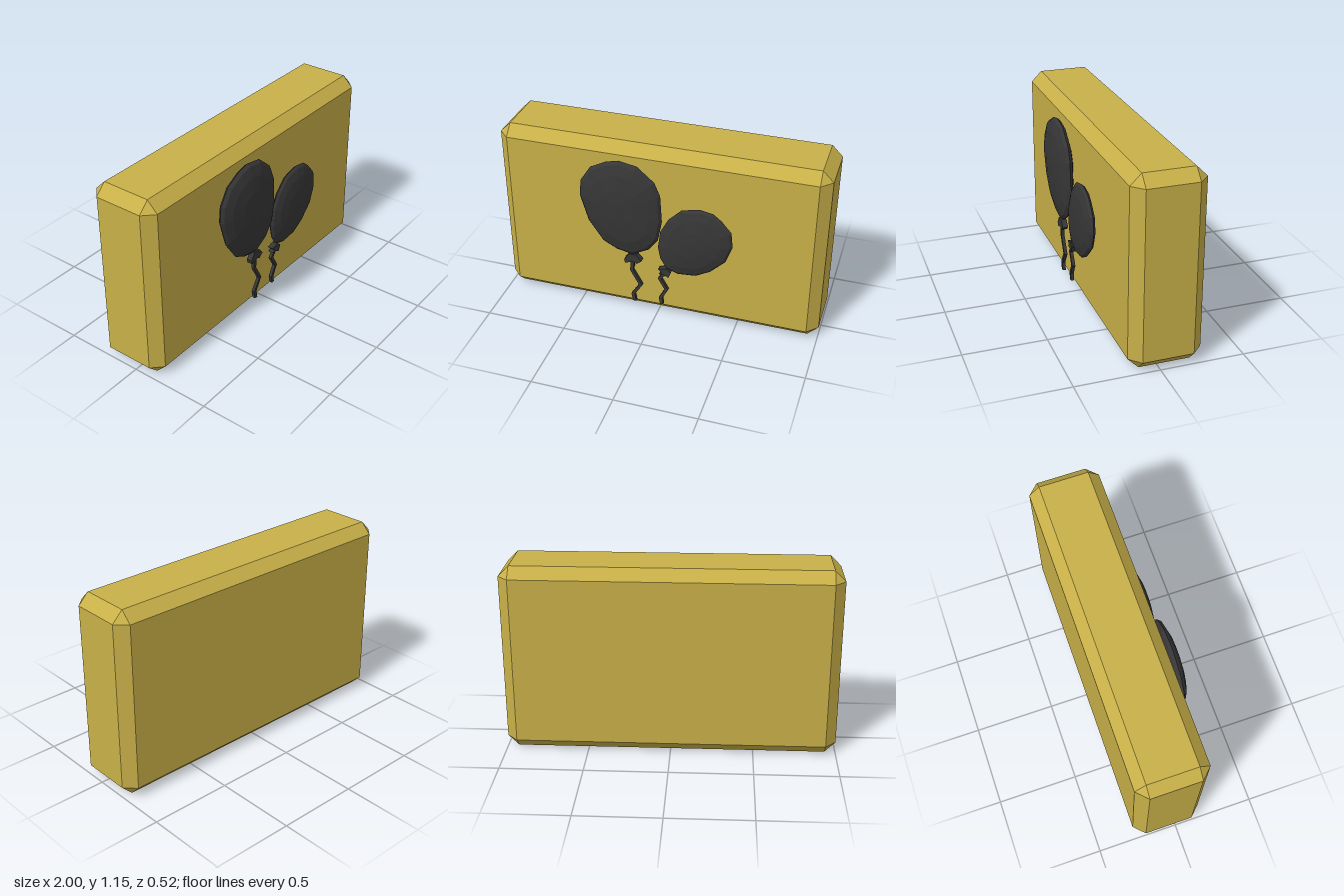
import * as THREE from 'three';
import { ConvexGeometry } from 'three/addons/geometries/ConvexGeometry.js';

const gold = new THREE.MeshStandardMaterial({ color: 0xc8b048, flatShading: true });
const dark = new THREE.MeshStandardMaterial({ color: 0x363636, flatShading: true });
const Z = 0.207; // middle plane of the balloons

function addMesh(parent, name, geometry, material) {
  const mesh = new THREE.Mesh(geometry, material);
  mesh.name = name;
  parent.add(mesh);
}

// Box with every edge cut at 45 degrees
function chamferedBox(w, h, d, c) {
  const points = [];
  for (const x of [-1, 1]) for (const y of [-1, 1]) for (const z of [-1, 1]) {
    for (let axis = 0; axis < 3; axis++) {
      const cut = [c, c, c];
      cut[axis] = 0;
      points.push(new THREE.Vector3(x * (w / 2 - cut[0]), y * (h / 2 - cut[1]), z * (d / 2 - cut[2])));
    }
  }
  return new ConvexGeometry(points);
}

// Flattened balloon: clockwise outline shrunk towards its centre in rounded layers
function puff(outline, [cx, cy], depth) {
  const n = outline.length;
  const angles = [-68, -44, -20, 0, 20, 44, 68].map(THREE.MathUtils.degToRad);
  const pos = [];
  const index = [];
  for (const a of angles) {
    for (const [x, y] of outline) {
      pos.push(cx + (x - cx) * Math.cos(a), cy + (y - cy) * Math.cos(a), Z + depth * Math.sin(a));
    }
  }
  const back = pos.length / 3;
  pos.push(cx, cy, Z - depth, cx, cy, Z + depth);
  const last = (angles.length - 1) * n;
  for (let i = 0; i < n; i++) {
    const j = (i + 1) % n;
    for (let k = 0; k < last; k += n) {
      index.push(k + i, k + n + i, k + j, k + j, k + n + i, k + n + j);
    }
    index.push(back, i, j, back + 1, last + j, last + i);
  }
  const g = new THREE.BufferGeometry();
  g.setAttribute('position', new THREE.Float32BufferAttribute(pos, 3));
  g.setIndex(index);
  g.computeVertexNormals();
  return g;
}

function slab(points, depth) {
  const shape = new THREE.Shape(points.map(([x, y]) => new THREE.Vector2(x, y)));
  return new THREE.ExtrudeGeometry(shape, { depth, bevelEnabled: false }).translate(0, 0, Z - depth / 2);
}

// Zigzag ribbon of even width along a line
function ribbon(line, width) {
  const left = line.map(([x, y]) => [x - width / 2, y]);
  const right = line.map(([x, y]) => [x + width / 2, y]).reverse();
  return slab([...left, ...right], 0.02);
}

const balloons = [
  {
    name: 'largeBalloon', centre: [-0.215, 0.79], depth: 0.055,
    outline: [[-0.22, 1.075], [-0.11, 1.055], [-0.005, 0.965], [0.03, 0.88], [0.04, 0.705], [0.015, 0.57],
      [-0.045, 0.49], [-0.145, 0.435], [-0.245, 0.455], [-0.33, 0.5], [-0.42, 0.63], [-0.47, 0.8],
      [-0.46, 0.905], [-0.395, 1.005], [-0.3, 1.055]],
    knot: [[-0.165, 0.445], [-0.12, 0.445], [-0.085, 0.405], [-0.115, 0.38], [-0.14, 0.39], [-0.19, 0.375], [-0.195, 0.4]],
    string: [[-0.145, 0.4], [-0.15, 0.32], [-0.095, 0.22], [-0.145, 0.14], [-0.135, 0.09]],
  },
  {
    name: 'smallBalloon', centre: [0.24, 0.6], depth: 0.043,
    outline: [[0.27, 0.835], [0.35, 0.82], [0.4, 0.78], [0.46, 0.71], [0.47, 0.61], [0.43, 0.5],
      [0.34, 0.41], [0.25, 0.36], [0.14, 0.35], [0.07, 0.375], [0.03, 0.44], [0.015, 0.52],
      [0.03, 0.635], [0.08, 0.73], [0.16, 0.81]],
    knot: [[0.07, 0.385], [0.1, 0.36], [0.085, 0.32], [0.055, 0.335], [0.025, 0.335], [0.04, 0.35], [0.02, 0.37]],
    string: [[0.065, 0.345], [0.027, 0.295], [0.07, 0.22], [0.033, 0.15], [0.04, 0.105]],
  },
];

export function createModel() {
  const model = new THREE.Group();
  model.name = 'balloonBlock';

  // Chamfered block
  addMesh(model, 'block', chamferedBox(2, 1.155, 0.432, 0.065).translate(0, 0.5775, -0.046), gold);

  // Balloons with knots and strings on the front
  for (const b of balloons) {
    const group = new THREE.Group();
    group.name = b.name;
    addMesh(group, 'balloon', puff(b.outline, b.centre, b.depth), dark);
    addMesh(group, 'knot', slab(b.knot, 0.035), dark);
    addMesh(group, 'string', ribbon(b.string, 0.022), dark);
    model.add(group);
  }
  return model;
}
